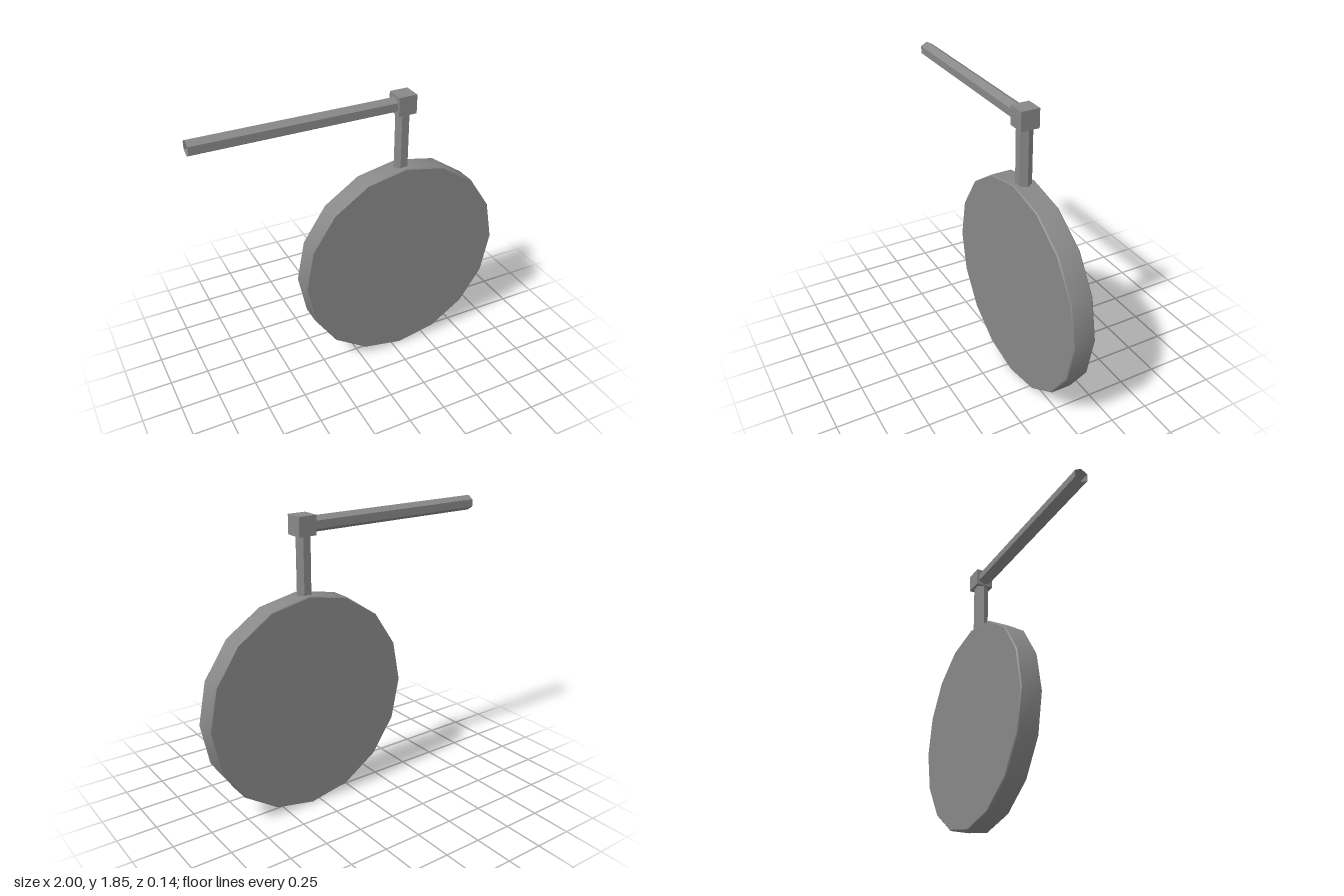
import * as THREE from 'three';
import { toCreasedNormals } from 'three/addons/utils/BufferGeometryUtils.js';

const smooth = new THREE.MeshStandardMaterial({ color: 0x888888 });
const faceted = new THREE.MeshStandardMaterial({ color: 0x888888, flatShading: true, side: THREE.DoubleSide });

const RADIUS = 0.693, HALF_DEPTH = 0.072, BEVEL = 0.007;
const AXIS_X = 0.307, JOINT_Y = 1.794, BAR_RADIUS = 0.0485;

function part(name, geometry, material, x, y) {
  const mesh = new THREE.Mesh(geometry, material);
  mesh.name = name;
  mesh.position.set(x, y, 0);
  return mesh;
}

// Open six-sided bar, upright, with two flats facing front and back
function hexBar(length) {
  return new THREE.CylinderGeometry(BAR_RADIUS, BAR_RADIUS, length, 6, 1, true).rotateY(Math.PI / 2);
}

export function createModel() {
  const group = new THREE.Group();
  group.name = 'hangingSign';

  // Sixteen-sided round panel with narrow bevelled edges
  const profile = [
    [0, -HALF_DEPTH],
    [RADIUS - BEVEL, -HALF_DEPTH],
    [RADIUS, -HALF_DEPTH + BEVEL],
    [RADIUS, HALF_DEPTH - BEVEL],
    [RADIUS - BEVEL, HALF_DEPTH],
    [0, HALF_DEPTH],
  ].map(([r, y]) => new THREE.Vector2(r, y));
  const disc = toCreasedNormals(new THREE.LatheGeometry(profile, 16).rotateX(Math.PI / 2), 0.6);
  group.add(part('roundPanel', disc, smooth, AXIS_X, RADIUS));

  // Upright post from the panel's rim into the joint
  const postBottom = 1.36, postTop = JOINT_Y;
  group.add(part('post', hexBar(postTop - postBottom), faceted, AXIS_X - 0.003, (postBottom + postTop) / 2));

  // Corner joint block
  group.add(part('jointBlock', new THREE.BoxGeometry(0.118, 0.118, 0.118), smooth, AXIS_X, JOINT_Y));

  // Sideways arm with a ridge along its top
  const armLength = 1 + AXIS_X;
  const arm = hexBar(armLength).rotateZ(Math.PI / 2);
  group.add(part('arm', arm, faceted, -1 + armLength / 2, JOINT_Y - 0.003));

  return group;
}
